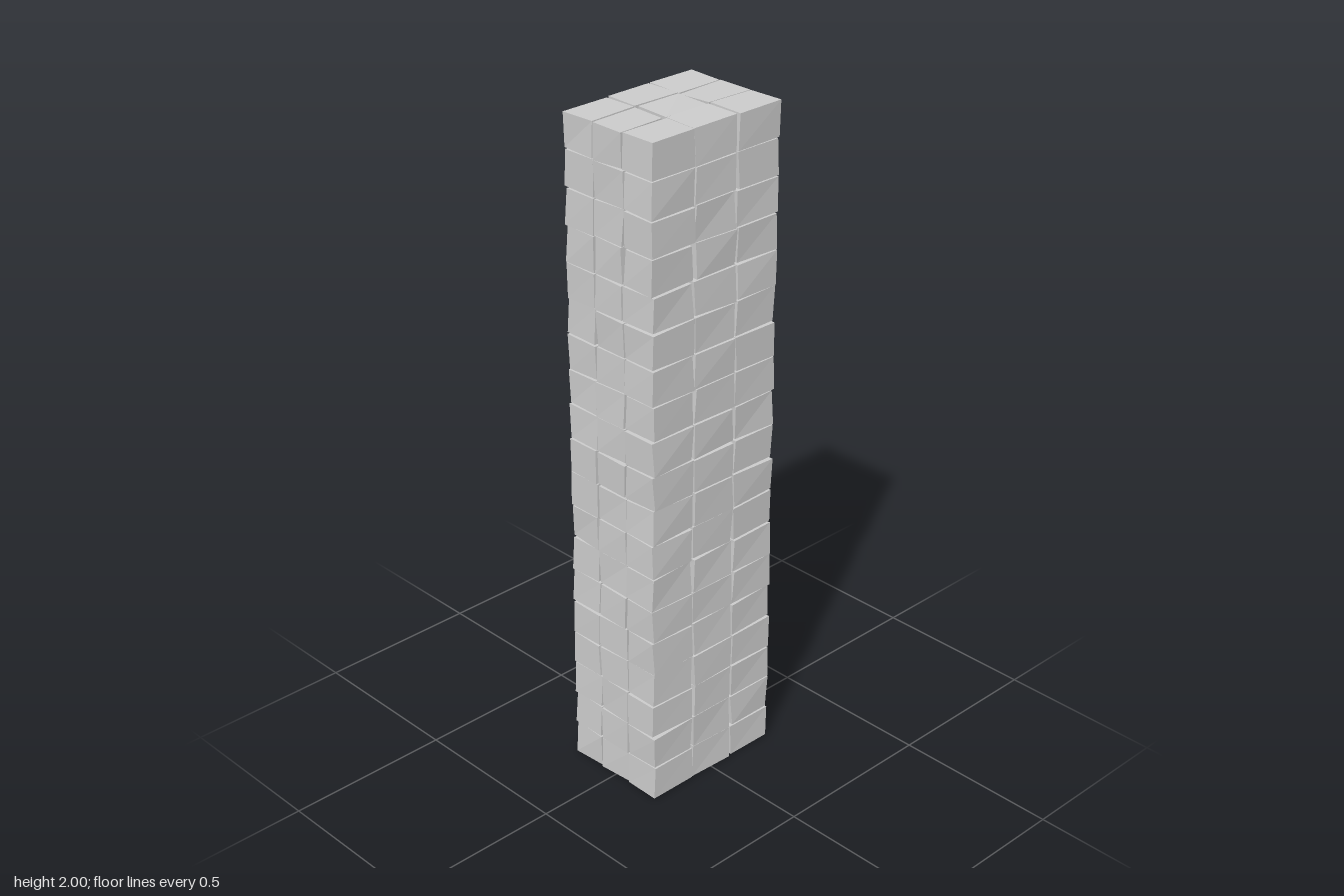
import * as THREE from 'three';

const COLS = 3, ROWS = 19, DEEP = 3;
const CELL = new THREE.Vector3(0.464 / COLS, 2 / ROWS, 0.334 / DEEP);
const INSET = new THREE.Vector3(0.009, 0.005, 0.007); // largest corner inset

// Small seeded generator, 0..1
function seeded(seed) {
  return () => {
    seed = (seed * 1664525 + 1013904223) >>> 0;
    return seed / 4294967296;
  };
}

// Rough-hewn block: a box whose eight corners are each pulled in a little
function roughBlock(random) {
  const geometry = new THREE.BoxGeometry(CELL.x, CELL.y, CELL.z);
  const pulls = Array.from({ length: 8 }, () =>
    ['x', 'y', 'z'].map((axis) => INSET[axis] * random() ** 1.5));
  const p = geometry.attributes.position;
  for (let i = 0; i < p.count; i++) {
    const x = p.getX(i), y = p.getY(i), z = p.getZ(i);
    const pull = pulls[(x > 0 ? 1 : 0) + (y > 0 ? 2 : 0) + (z > 0 ? 4 : 0)];
    p.setXYZ(i,
      x - Math.sign(x) * pull[0],
      y - Math.sign(y) * pull[1],
      z - Math.sign(z) * pull[2]);
  }
  geometry.computeVertexNormals();
  return geometry;
}

export function createModel() {
  const pillar = new THREE.Group();
  pillar.name = 'stonePillar';
  const stone = new THREE.MeshStandardMaterial({ color: 0xcccccc, flatShading: true });
  const random = seeded(4711);

  // Stacked courses of three by three blocks
  for (let row = 0; row < ROWS; row++) {
    const course = new THREE.Group();
    course.name = `course${row + 1}`;
    course.position.y = (row + 0.5) * CELL.y;
    for (let col = 0; col < COLS; col++) {
      for (let d = 0; d < DEEP; d++) {
        const block = new THREE.Mesh(roughBlock(random), stone);
        block.name = 'stoneBlock';
        block.position.set((col - 1) * CELL.x, 0, (d - 1) * CELL.z);
        course.add(block);
      }
    }
    pillar.add(course);
  }
  return pillar;
}
